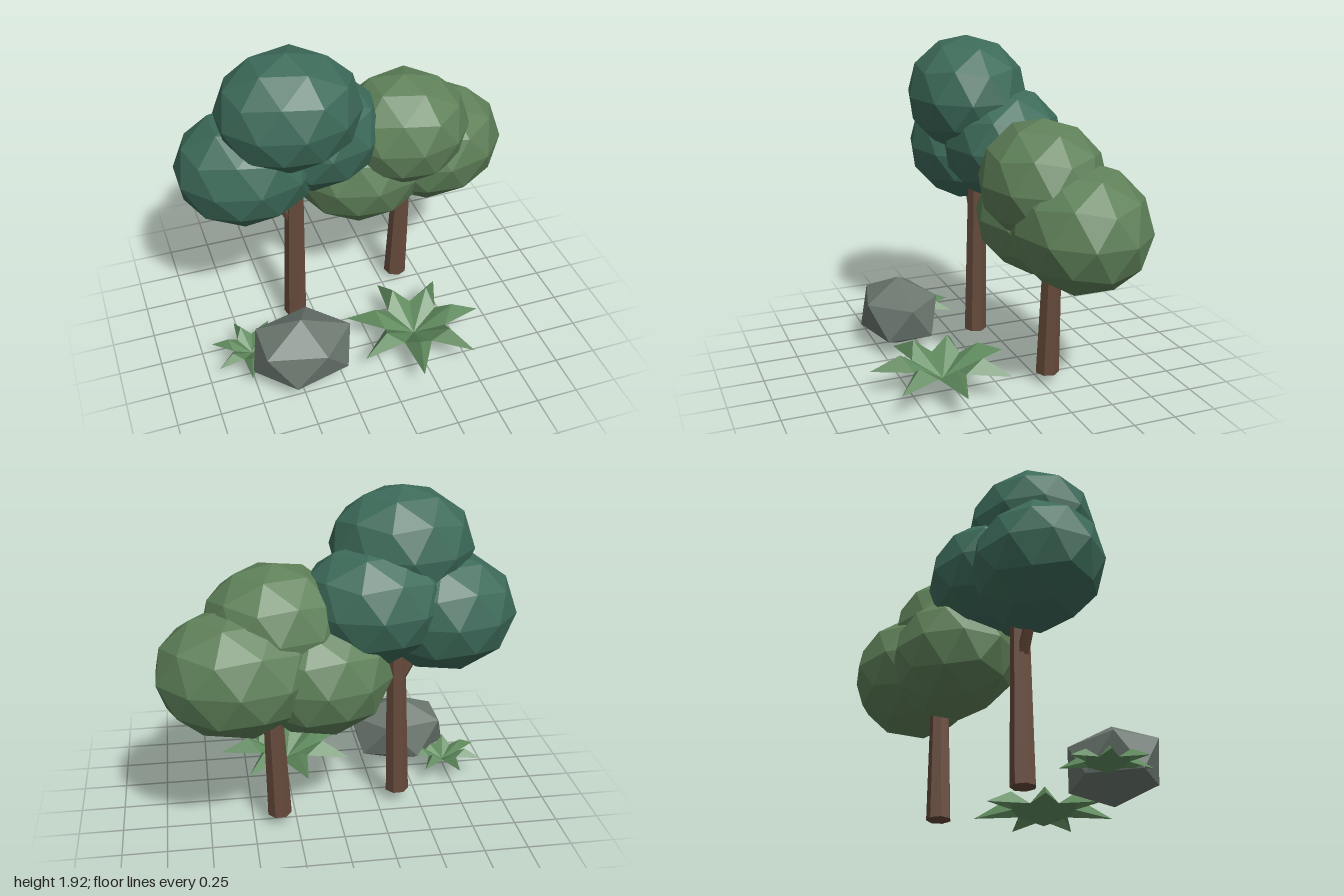
import * as THREE from 'three';

const mat = (name, color, extra = {}) => {
  const m = new THREE.MeshStandardMaterial({ color, flatShading: true, ...extra });
  m.name = name;
  return m;
};

// Icosahedron standing on a pole, first upper-ring corner towards +x
function poleIcosahedron(detail) {
  const v = [0, 1, 0];
  const h = 1 / Math.sqrt(5), r = 2 * h;
  for (let ring = 0; ring < 2; ring++) {
    for (let k = 0; k < 5; k++) {
      const a = (k + ring * 0.5) * Math.PI * 0.4;
      v.push(r * Math.cos(a), ring ? -h : h, -r * Math.sin(a));
    }
  }
  v.push(0, -1, 0);
  const f = [];
  for (let k = 0; k < 5; k++) {
    const u = 1 + k, u2 = 1 + (k + 1) % 5, l = 6 + k, l2 = 6 + (k + 1) % 5;
    f.push(0, u, u2, u, l, u2, u2, l, l2, l, 11, l2);
  }
  return new THREE.PolyhedronGeometry(v, f, 1, detail);
}

// Tapered round limb between two points
function limb(name, from, to, r0, r1, material) {
  const a = new THREE.Vector3(...from), b = new THREE.Vector3(...to);
  const dir = b.clone().sub(a);
  const mesh = new THREE.Mesh(new THREE.CylinderGeometry(r1, r0, dir.length(), 7), material);
  mesh.name = name;
  mesh.position.copy(a).add(b).multiplyScalar(0.5);
  mesh.quaternion.setFromUnitVectors(new THREE.Vector3(0, 1, 0), dir.normalize());
  return mesh;
}

// Star of seven folded leaves rising from a low centre
function fernGeometry() {
  const n = 7, pos = [];
  const p = (r, y, a) => [r * Math.cos(a), y, r * Math.sin(a)];
  for (let i = 0; i < n; i++) {
    const a = (i / n) * Math.PI * 2, half = Math.PI / n;
    const base = [0, 0, 0], ridge = p(0.24, 0.16, a), tip = p(0.413, 0.07, a);
    const left = p(0.185, 0.085, a - half), right = p(0.185, 0.085, a + half);
    pos.push(...base, ...ridge, ...left, ...left, ...ridge, ...tip);
    pos.push(...base, ...right, ...ridge, ...ridge, ...right, ...tip);
  }
  const g = new THREE.BufferGeometry();
  g.setAttribute('position', new THREE.Float32BufferAttribute(pos, 3));
  g.computeVertexNormals();
  return g;
}

export function createModel() {
  const darkLeaf = mat('dark foliage', 0x3d6b5a);
  const lightLeaf = mat('light foliage', 0x5f8159);
  const bark = mat('bark', 0x664a3b);
  const stone = mat('stone', 0x6b776f);
  const fernGreen = mat('fern green', 0x5f8a5d, { side: THREE.DoubleSide });

  const model = new THREE.Group();
  model.name = 'woodland';
  const blobGeo = poleIcosahedron(1);

  const tree = (name, limbs, leaf, blobs) => {
    const g = new THREE.Group();
    g.name = name;
    limbs.forEach(l => g.add(limb(...l, bark)));
    blobs.forEach(([pos, size], i) => {
      const m = new THREE.Mesh(blobGeo, leaf);
      m.name = `foliage${i + 1}`;
      m.position.set(...pos);
      m.scale.set(...size);
      g.add(m);
    });
    model.add(g);
  };

  // Tall dark tree
  const size = [0.41, 0.345, 0.35];
  tree('darkTree', [
    ['trunk', [-0.374, 0.068, -0.12], [-0.34, 1.25, -0.12], 0.07, 0.052],
    ['branch', [-0.36, 0.78, -0.12], [-0.53, 1.08, -0.12], 0.035, 0.028],
  ], darkLeaf, [
    [[-0.375, 1.58, -0.067], size],
    [[-0.61, 1.22, -0.15], size],
    [[-0.19, 1.313, -0.222], size],
  ]);

  // Shorter light tree
  tree('lightTree', [
    ['trunk', [0.35, 0.065, -0.285], [0.388, 1.0, -0.288], 0.07, 0.05],
  ], lightLeaf, [
    [[0.353, 1.222, -0.23], [0.4, 0.345, 0.35]],
    [[0.572, 1.007, -0.355], [0.45, 0.365, 0.38]],
    [[0.117, 0.948, -0.312], size],
  ]);

  // Faceted boulder
  const rock = new THREE.Mesh(poleIcosahedron(0), stone);
  rock.name = 'rock';
  rock.position.set(-0.47, 0.222, 0.357);
  rock.scale.set(0.33, 0.222, 0.258);
  model.add(rock);

  // Ferns
  const fernGeo = fernGeometry();
  [['largeFern', 0.246, 0.32, 1], ['smallFern', -0.727, 0.165, 0.59]].forEach(([name, x, z, s]) => {
    const fern = new THREE.Mesh(fernGeo, fernGreen);
    fern.name = name;
    fern.position.set(x, 0.078, z);
    fern.scale.setScalar(s);
    model.add(fern);
  });

  return model;
}
